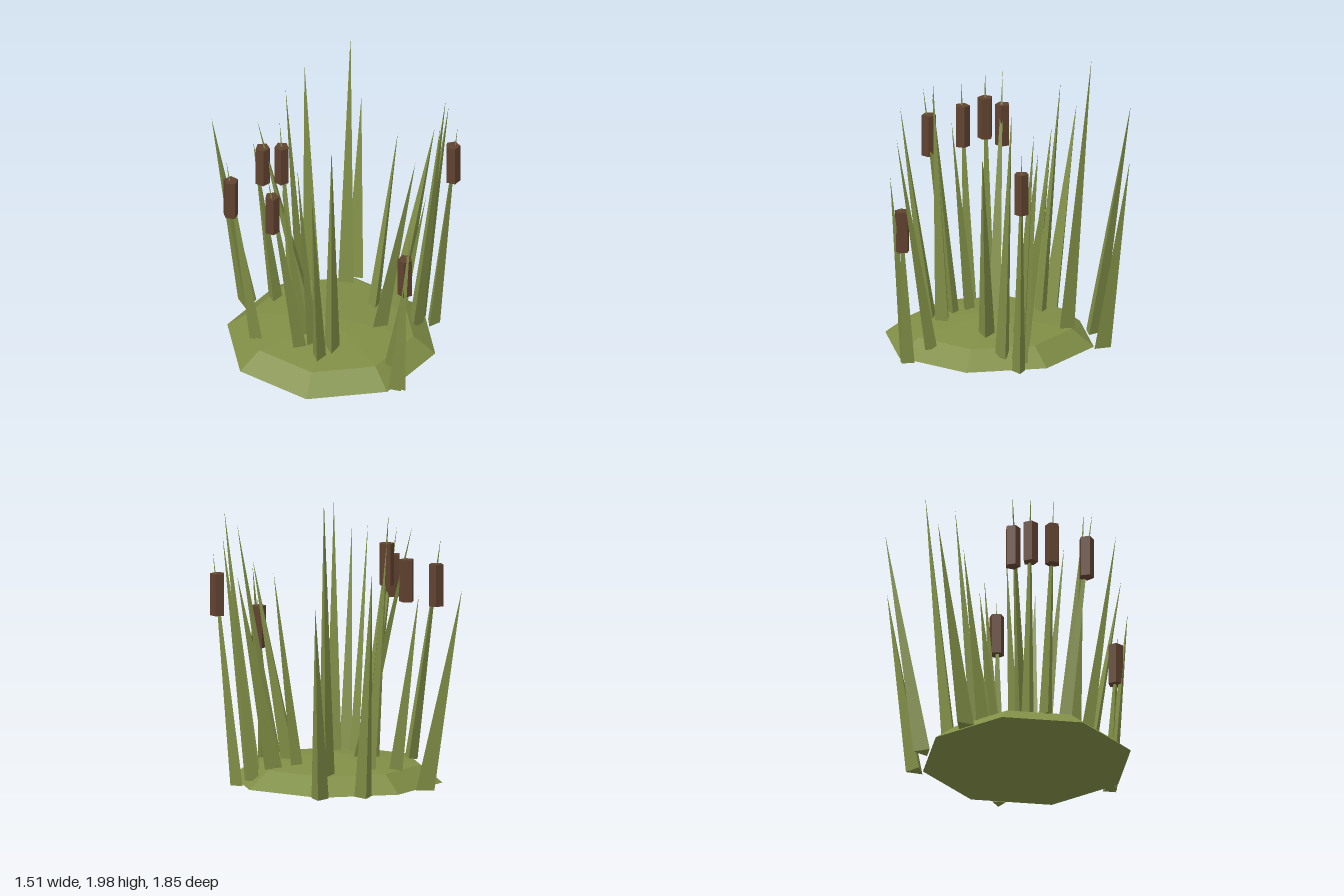
import * as THREE from 'three';

const green = new THREE.MeshStandardMaterial({ color: 0x808e46, flatShading: true });
green.name = 'reed green';
const brown = new THREE.MeshStandardMaterial({ color: 0x60422f, flatShading: true });
brown.name = 'seed head brown';

const CX = -0.11, CZ = 0.05; // centre of the mound

// Height of the eight-sided mound under a point
function groundY(x, z) {
  const u = Math.abs(x - CX), v = Math.abs(z - CZ);
  const d = Math.max(u, v, (u + v) * Math.SQRT1_2);
  if (d < 0.51) return 0.18 - 0.065 * d / 0.51;
  return Math.max(0, 0.115 * (0.65 - d) / 0.14);
}

// Three-sided spike from a level base to a leaning tip, one corner towards the lean
function spike(name, [bx, bz], [tx, ty, tz], r) {
  const by = Math.max(0, groundY(bx, bz) - 0.01);
  const h = ty - by, dx = tx - bx, dz = tz - bz;
  const geo = new THREE.ConeGeometry(r, h, 3);
  geo.translate(0, h / 2, 0);
  geo.rotateY(Math.atan2(dx, dz));
  const p = geo.attributes.position;
  for (let i = 0; i < p.count; i++) {
    const t = p.getY(i) / h;
    p.setX(i, p.getX(i) + dx * t);
    p.setZ(i, p.getZ(i) + dz * t);
  }
  geo.computeVertexNormals();
  const mesh = new THREE.Mesh(geo, green);
  mesh.name = name;
  mesh.position.set(bx, by, bz);
  return mesh;
}

// [base x, z], [tip x, y, z], base radius
const BLADES = [
  [[-0.1, -0.645], [-0.1, 1.36, -0.93], 0.07],
  [[0.36, -0.46], [0.54, 1.56, -0.64], 0.066],
  [[0.575, -0.25], [0.75, 1.3, -0.33], 0.066],
  [[-0.085, -0.425], [-0.075, 1.3, -0.61], 0.052],
  [[0.045, -0.315], [0.095, 1.68, -0.47], 0.045],
  [[0.35, -0.16], [0.505, 1.98, -0.24], 0.06],
  [[-0.2, 0.6], [-0.245, 1.6, 0.92], 0.048],
  [[-0.31, 0.72], [-0.34, 1.31, 0.86], 0.05],
  [[-0.38, 0.08], [-0.545, 1.64, 0.09], 0.042],
  [[-0.47, 0.21], [-0.66, 1.57, 0.29], 0.05],
  [[-0.35, 0.23], [-0.41, 1.79, 0.27], 0.058],
  [[-0.33, -0.02], [-0.5, 1.4, -0.07], 0.045],
  [[0.05, 0.315], [0.17, 1.46, 0.53], 0.062],
  [[0.21, 0.165], [0.4, 1.44, 0.22], 0.045],
  [[0.32, 0.275], [0.6, 1.43, 0.375], 0.068],
  [[0.38, 0.4], [0.57, 1.68, 0.51], 0.055],
  [[0.4, 0.38], [0.56, 1.5, 0.45], 0.045],
  [[0.28, 0.45], [0.44, 1.83, 0.58], 0.055],
];

// [stem base x, z], [stem tip x, y, z], [head x, y, z], head turn
const CATTAILS = [
  [[-0.44, 0.03], [-0.705, 1.61, -0.035], [-0.655, 1.29, -0.035], 0.5],
  [[-0.5, -0.27], [-0.66, 1.57, -0.405], [-0.635, 1.26, -0.385], 0.9],
  [[-0.25, -0.13], [-0.33, 1.77, -0.21], [-0.32, 1.43, -0.2], 0.2],
  [[-0.16, -0.08], [-0.32, 1.7, -0.4], [-0.3, 1.34, -0.37], 0.4],
  [[-0.285, 0.74], [-0.3, 1.12, 0.8], [-0.295, 0.92, 0.785], 0.1],
  [[0.43, 0.48], [0.54, 1.57, 0.605], [0.52, 1.28, 0.58], 0.6],
];

export function createModel() {
  const model = new THREE.Group();
  model.name = 'reedClump';

  // Faceted ground mound
  const profile = [[0, 0], [0.703, 0], [0.555, 0.115], [0, 0.18]]
    .map(([r, y]) => new THREE.Vector2(r, y));
  const mound = new THREE.Mesh(new THREE.LatheGeometry(profile, 8, Math.PI / 8), green);
  mound.name = 'mound';
  mound.position.set(CX, 0, CZ);
  model.add(mound);

  // Grass blades
  const blades = new THREE.Group();
  blades.name = 'blades';
  for (const [base, tip, r] of BLADES) blades.add(spike('blade', base, tip, r));
  model.add(blades);

  // Cattails: leaning stem with an upright five-sided head
  const headGeo = new THREE.CylinderGeometry(0.05, 0.05, 0.28, 5);
  for (const [base, tip, at, turn] of CATTAILS) {
    const cattail = new THREE.Group();
    cattail.name = 'cattail';
    const head = new THREE.Mesh(headGeo, brown);
    head.name = 'seedHead';
    head.position.set(...at);
    head.rotation.y = turn;
    cattail.add(spike('stem', base, tip, 0.05), head);
    model.add(cattail);
  }
  return model;
}
